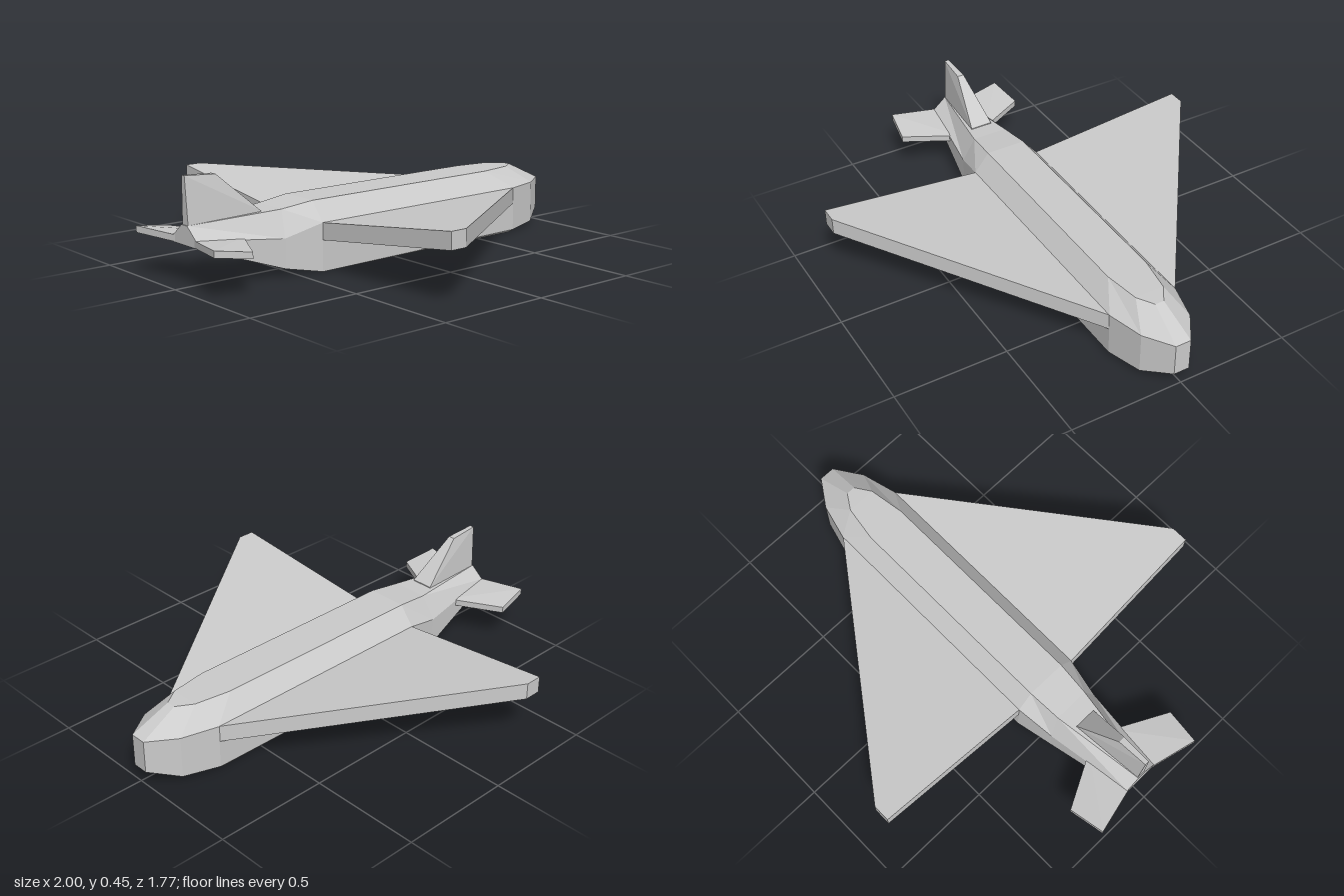
import * as THREE from 'three';
import { ConvexGeometry } from 'three/addons/geometries/ConvexGeometry.js';

const material = new THREE.MeshStandardMaterial({ color: 0xcccccc, flatShading: true });

function addMesh(group, name, geometry) {
  const mesh = new THREE.Mesh(geometry, material);
  mesh.name = name;
  group.add(mesh);
}

// Convex part from [x, y, z] corners
const hull = (corners) => new ConvexGeometry(corners.map((c) => new THREE.Vector3(...c)));

// Fuselage: each station holds roof, shoulder, lower wall and belly points of one side
function fuselageGeometry() {
  const stations = [
    [[-0.95, 0.25, 0.02], [-0.95, 0.2, 0.08], [-0.95, 0.17, 0.08], [-0.95, 0.17, 0.08]],
    [[-0.54, 0.27, 0.08], [-0.56, 0.16, 0.13], [-0.56, 0.035, 0.13], [-0.56, 0.035, 0.13]],
    [[-0.39, 0.287, 0.09], [-0.39, 0.205, 0.157], [-0.39, 0, 0.157], [-0.39, 0, 0.157]],
    [[0.6, 0.287, 0.09], [0.72, 0.205, 0.157], [0.72, 0.01, 0.157], [0.7, 0, 0.15]],
    [[0.76, 0.287, 0.065], [0.88, 0.205, 0.115], [0.88, 0.02, 0.115], [0.84, 0, 0.09]],
    [[0.83, 0.285, 0.02], [1, 0.205, 0.035], [1, 0.06, 0.035], [1, 0.06, 0.035]],
  ];
  const n = 8;
  const positions = [];
  const indices = [];
  for (const side of stations) {
    const mirrored = side.map(([x, y, z]) => [x, y, -z]).reverse();
    positions.push(...side.flat(), ...mirrored.flat());
  }
  const quad = (a, b, c, d) => indices.push(a, b, c, a, c, d);
  for (let i = 0; i < stations.length - 1; i++) {
    for (let j = 0; j < n; j++) {
      const k = (j + 1) % n;
      quad(i * n + j, i * n + k, (i + 1) * n + k, (i + 1) * n + j);
    }
  }
  // Tail and nose caps
  const nose = (stations.length - 1) * n;
  for (let j = 0; j < 3; j++) {
    quad(nose + j, nose + j + 1, nose + 6 - j, nose + 7 - j);
    quad(7 - j, 6 - j, j + 1, j);
  }
  const geometry = new THREE.BufferGeometry();
  geometry.setAttribute('position', new THREE.Float32BufferAttribute(positions, 3));
  geometry.setIndex(indices);
  const flat = geometry.toNonIndexed();
  flat.computeVertexNormals();
  return flat;
}

// Thick plate from an outline of [x, top y, z] and a thickness, on one side (s = 1 or -1)
function plate(outline, thickness, s) {
  return hull(outline.flatMap(([x, y, z]) => [[x, y, z * s], [x, y - thickness, z * s]]));
}

export function createModel() {
  const group = new THREE.Group();
  group.name = 'deltaWingCraft';

  addMesh(group, 'fuselage', fuselageGeometry());

  // Delta wings and tailplanes, mirrored across z
  for (const [label, s] of [['front', 1], ['back', -1]]) {
    addMesh(group, label + 'Wing', plate(
      [[0.72, 0.205, 0.155], [-0.39, 0.205, 0.155], [-0.365, 0.295, 0.885], [-0.29, 0.295, 0.885]],
      0.073, s));
    addMesh(group, label + 'Tailplane', plate(
      [[-0.72, 0.18, 0.07], [-0.95, 0.2, 0.07], [-1, 0.208, 0.277], [-0.84, 0.183, 0.302]],
      0.028, s));
  }

  // Tail fin, wide at its leading foot and narrow along the top
  addMesh(group, 'tailFin', hull([-1, 1].flatMap((s) => [
    [-0.62, 0.27, 0.05 * s], [-0.62, 0.24, 0.05 * s],
    [-0.945, 0.25, 0.02 * s], [-0.945, 0.22, 0.02 * s],
    [-0.81, 0.438, 0.015 * s], [-0.95, 0.447, 0.01 * s],
  ])));

  return group;
}
